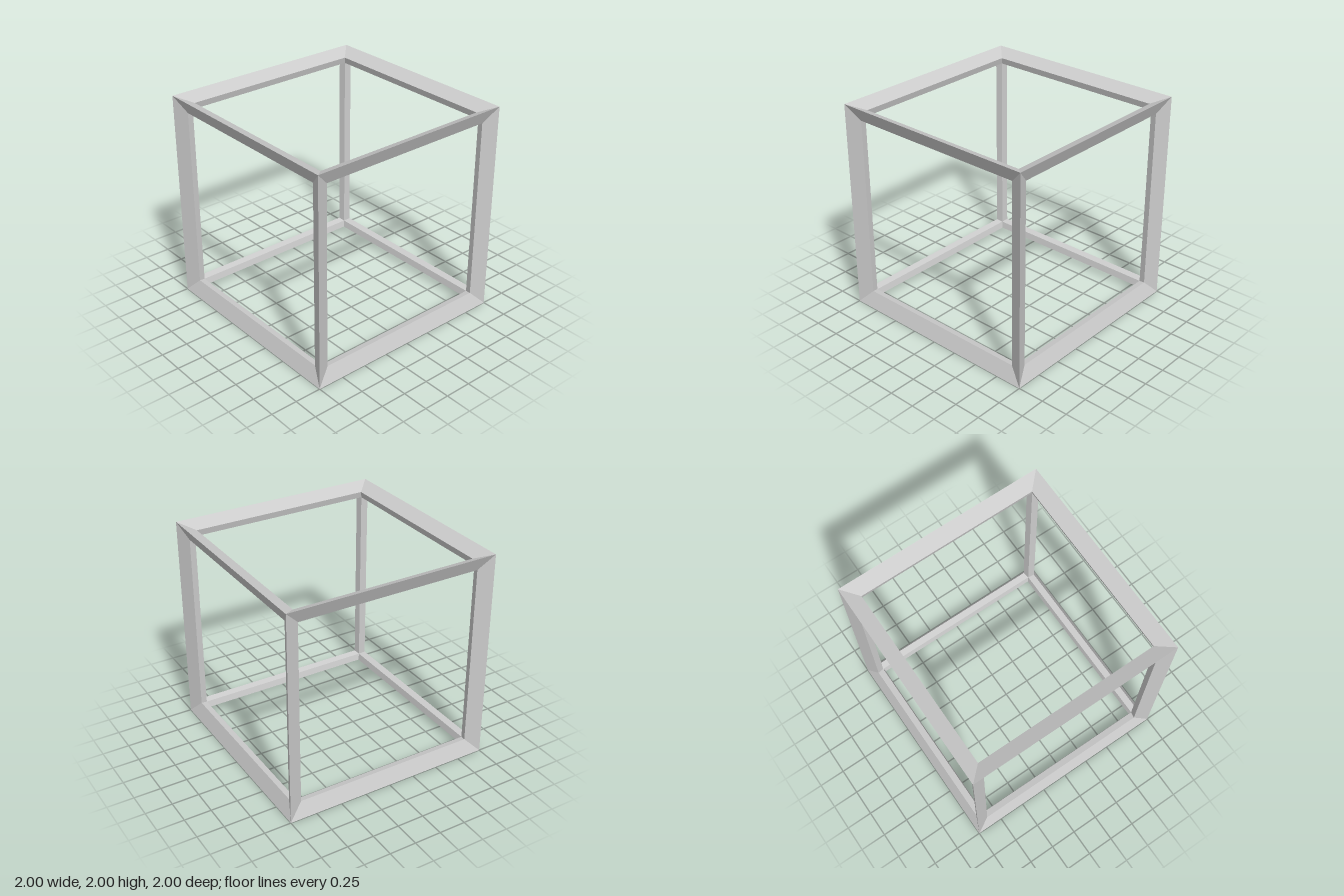
import * as THREE from 'three';

const OUTER = 1;      // outer cube corner
const RIM_IN = 0.864; // half width of each face opening
const RIM_OUT = 0.939; // how far out the rim of an opening lies
const INNER = 0.878;  // inner cube corner

// One mitred bar along x at the +y +z edge; section corners are [half length, y, z]
function barGeometry() {
  const section = [
    [OUTER, OUTER, OUTER],
    [RIM_IN, RIM_IN, RIM_OUT],
    [INNER, INNER, INNER],
    [RIM_IN, RIM_OUT, RIM_IN],
  ];
  const pos = [];
  section.forEach(([ha, ya, za], i) => {
    const [hb, yb, zb] = section[(i + 1) % section.length];
    const la = [-ha, ya, za], ra = [ha, ya, za];
    const lb = [-hb, yb, zb], rb = [hb, yb, zb];
    pos.push(...la, ...lb, ...rb, ...la, ...rb, ...ra);
  });
  const geometry = new THREE.BufferGeometry();
  geometry.setAttribute('position', new THREE.Float32BufferAttribute(pos, 3));
  geometry.computeVertexNormals();
  return geometry;
}

export function createModel() {
  const model = new THREE.Group();
  model.name = 'cubeFrame';
  const material = new THREE.MeshStandardMaterial({ color: 0xcccccc, flatShading: true });
  const geometry = barGeometry();

  // Four parallel bars for each of the three axes
  const sets = [
    ['widthBars', 0, 0],
    ['uprightBars', 0, Math.PI / 2],
    ['depthBars', Math.PI / 2, 0],
  ];
  for (const [name, turnY, turnZ] of sets) {
    const set = new THREE.Group();
    set.name = name;
    for (let k = 0; k < 4; k++) {
      const bar = new THREE.Mesh(geometry, material);
      bar.name = 'bar';
      bar.rotation.x = k * Math.PI / 2;
      set.add(bar);
    }
    set.rotation.set(0, turnY, turnZ);
    set.position.y = 1;
    model.add(set);
  }
  return model;
}
